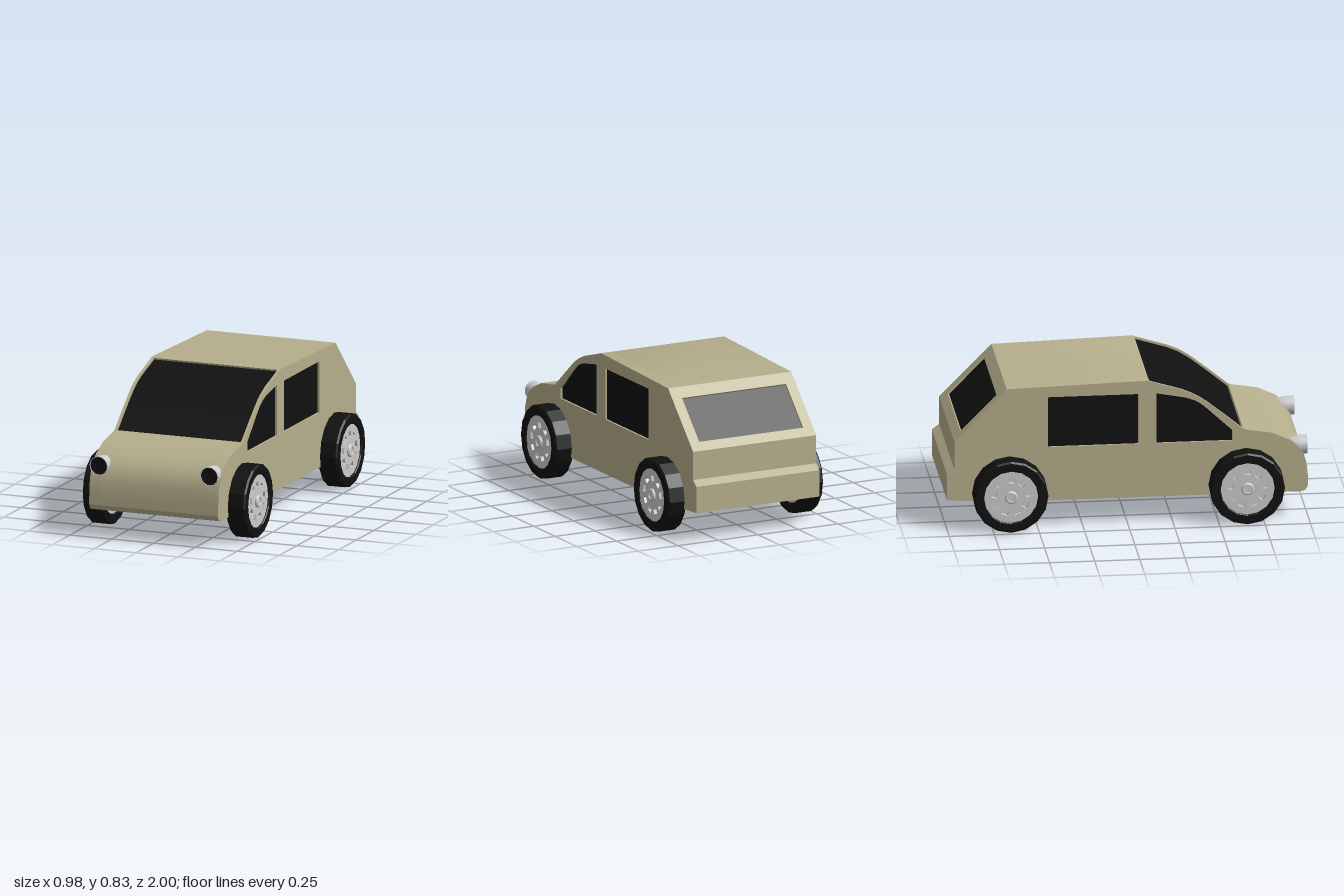
import * as THREE from 'three';
import { toCreasedNormals } from 'three/addons/utils/BufferGeometryUtils.js';

const paint = new THREE.MeshStandardMaterial({ color: 0xb5ae8c });
const black = new THREE.MeshStandardMaterial({ color: 0x111111 });
const rubber = new THREE.MeshStandardMaterial({ color: 0x111111, flatShading: true });
const metal = new THREE.MeshStandardMaterial({ color: 0xcccccc });

const HALF = 0.385;   // half body width
const GLASS = 0.37;   // half windscreen width, also the floor of the side windows
const REAR = 0.325;   // half rear window width

// Side outlines as [z, y] points
const windscreen = [[0.64, 0.527], [0.53, 0.618], [0.44, 0.69], [0.4, 0.718], [0.36, 0.741], [0.3, 0.767], [0.12, 0.822]];
const rearGlass = [[-0.72, 0.754], [-0.92, 0.551]];
const nose = [[-0.8, 0.15], [0.96, 0.15], [0.985, 0.158], [1, 0.185], [0.998, 0.25], [0.99, 0.32], [0.975, 0.37],
  [0.945, 0.415], [0.9, 0.452], [0.8, 0.497], [0.66, 0.52]];
const tail = [[-0.96, 0.51], [-0.96, 0.35], [-1, 0.32], [-1, 0.17], [-0.85, 0.16]];
const frontWindow = [[0.16, 0.46], [0.58, 0.46], [0.58, 0.52], [0.44, 0.652], [0.4, 0.685], [0.37, 0.702], [0.32, 0.72], [0.16, 0.75]];
const rearWindow = [[-0.44, 0.46], [0.06, 0.46], [0.06, 0.75], [-0.44, 0.75]];

const shift = (points, dir, d) => points.map(([z, y]) => [z + dir[0] * d, y + dir[1] * d]);
const toShape = (points) => new THREE.Shape(points.map(([z, y]) => new THREE.Vector2(z, y)));
const screenIn = [-0.5, -0.86];
const rearIn = [0.71, -0.7];

// Body outline; either window can be sunk into it
function outline(sinkScreen, sinkRear) {
  const front = sinkScreen ? [windscreen[0], ...shift(windscreen, screenIn, 0.015), windscreen[6]] : windscreen;
  const back = sinkRear ? [rearGlass[0], ...shift(rearGlass, rearIn, 0.015), rearGlass[1]] : rearGlass;
  return toShape([...nose, ...front, [0.11, 0.826], [-0.67, 0.805], ...back, ...tail]);
}

// Extrudes a side outline across the car from x0 to x1
function slab(name, shape, x0, x1, material) {
  const geo = new THREE.ExtrudeGeometry(shape, { depth: x1 - x0, bevelEnabled: false });
  geo.rotateY(-Math.PI / 2).translate(x1, 0, 0);
  const mesh = new THREE.Mesh(toCreasedNormals(geo, 0.5), material);
  mesh.name = name;
  return mesh;
}

// Thin curved pane lying on the floor of a sunken window
function pane(name, points, dir, half) {
  const shape = toShape([...shift(points, dir, 0.018), ...shift(points, dir, 0.012).reverse()]);
  return slab(name, shape, -half, half, black);
}

function createBody() {
  const body = new THREE.Group();
  body.name = 'body';
  body.add(slab('bodyCore', outline(true, true), -REAR, REAR, paint));
  body.add(pane('windscreen', windscreen, screenIn, GLASS));
  body.add(pane('rearWindow', rearGlass, rearIn, REAR));
  for (const s of [1, -1]) {
    const side = s > 0 ? 'left' : 'right';
    const span = (a, b) => (s > 0 ? [a, b] : [-b, -a]);
    body.add(slab(side + 'InnerSide', outline(true, false), ...span(REAR, GLASS), paint));
    const panel = outline(false, false);
    panel.holes.push(toShape(frontWindow), toShape(rearWindow));
    body.add(slab(side + 'SidePanel', panel, ...span(GLASS, HALF), paint));
    body.add(slab(side + 'FrontWindow', toShape(frontWindow), ...span(GLASS - 0.005, GLASS + 0.003), black));
    body.add(slab(side + 'RearWindow', toShape(rearWindow), ...span(GLASS - 0.005, GLASS + 0.003), black));
  }
  return body;
}

// Turned part with its axis along z; profile is [radius, z]
function turned(name, profile, segments, material) {
  const pts = profile.map(([r, z]) => new THREE.Vector2(r, z));
  const geo = new THREE.LatheGeometry(pts, segments).rotateX(Math.PI / 2);
  const mesh = new THREE.Mesh(toCreasedNormals(geo, 0.5), material);
  mesh.name = name;
  return mesh;
}

// Wheel facing +z
function createWheel() {
  const wheel = new THREE.Group();
  wheel.add(turned('tyre', [[0.15, -0.05], [0.155, -0.056], [0.2, -0.056], [0.207, -0.05], [0.207, 0.047],
    [0.198, 0.056], [0.155, 0.056], [0.15, 0.05], [0.15, -0.05]], 16, rubber));
  wheel.add(turned('rim', [[0, -0.045], [0.152, -0.045], [0.152, 0.025], [0, 0.025]], 32, metal));

  // Wheel disc pierced by a ring of square pockets
  const disc = new THREE.Shape().absarc(0, 0, 0.152, 0, Math.PI * 2);
  for (let i = 0; i < 9; i++) {
    const a = (i / 9) * Math.PI * 2 + Math.PI / 2;
    const hole = [[-1, -1], [1, -1], [1, 1], [-1, 1]].map(([u, v]) => {
      const r = 0.094 + u * 0.014, t = v * 0.018;
      return [r * Math.cos(a) - t * Math.sin(a), r * Math.sin(a) + t * Math.cos(a)];
    });
    disc.holes.push(toShape(hole));
  }
  const geo = new THREE.ExtrudeGeometry(disc, { depth: 0.022, bevelEnabled: false, curveSegments: 16 });
  const face = new THREE.Mesh(toCreasedNormals(geo.translate(0, 0, 0.024), 0.5), metal);
  face.name = 'wheelDisc';
  wheel.add(face);
  wheel.add(turned('hub', [[0.036, 0.04], [0.036, 0.054], [0.03, 0.06], [0.022, 0.06], [0.02, 0.054], [0, 0.054]], 16, metal));
  return wheel;
}

// Bullet-shaped lamp with a sunken dark lens, facing +z
function createHeadlight() {
  const lamp = new THREE.Group();
  lamp.add(turned('lampShell', [[0, -0.115], [0.032, -0.115], [0.039, -0.105], [0.047, -0.075], [0.052, -0.035], [0.053, 0],
    [0.05, 0], [0.05, -0.012]], 24, metal));
  lamp.add(turned('lampLens', [[0.051, -0.006], [0.03, -0.012], [0, -0.014]], 24, black));
  return lamp;
}

export function createModel() {
  const car = new THREE.Group();
  car.name = 'car';
  car.add(createBody());
  for (const s of [1, -1]) {
    const side = s > 0 ? 'left' : 'right';
    for (const [end, z] of [['Front', 0.655], ['Rear', -0.655]]) {
      const wheel = createWheel();
      wheel.name = side + end + 'Wheel';
      wheel.rotation.y = s * Math.PI / 2;
      wheel.position.set(s * 0.429, 0.207, z);
      car.add(wheel);
    }
    const lamp = createHeadlight();
    lamp.name = side + 'Headlight';
    lamp.position.set(s * 0.33, 0.406, 0.998);
    car.add(lamp);
  }
  return car;
}
